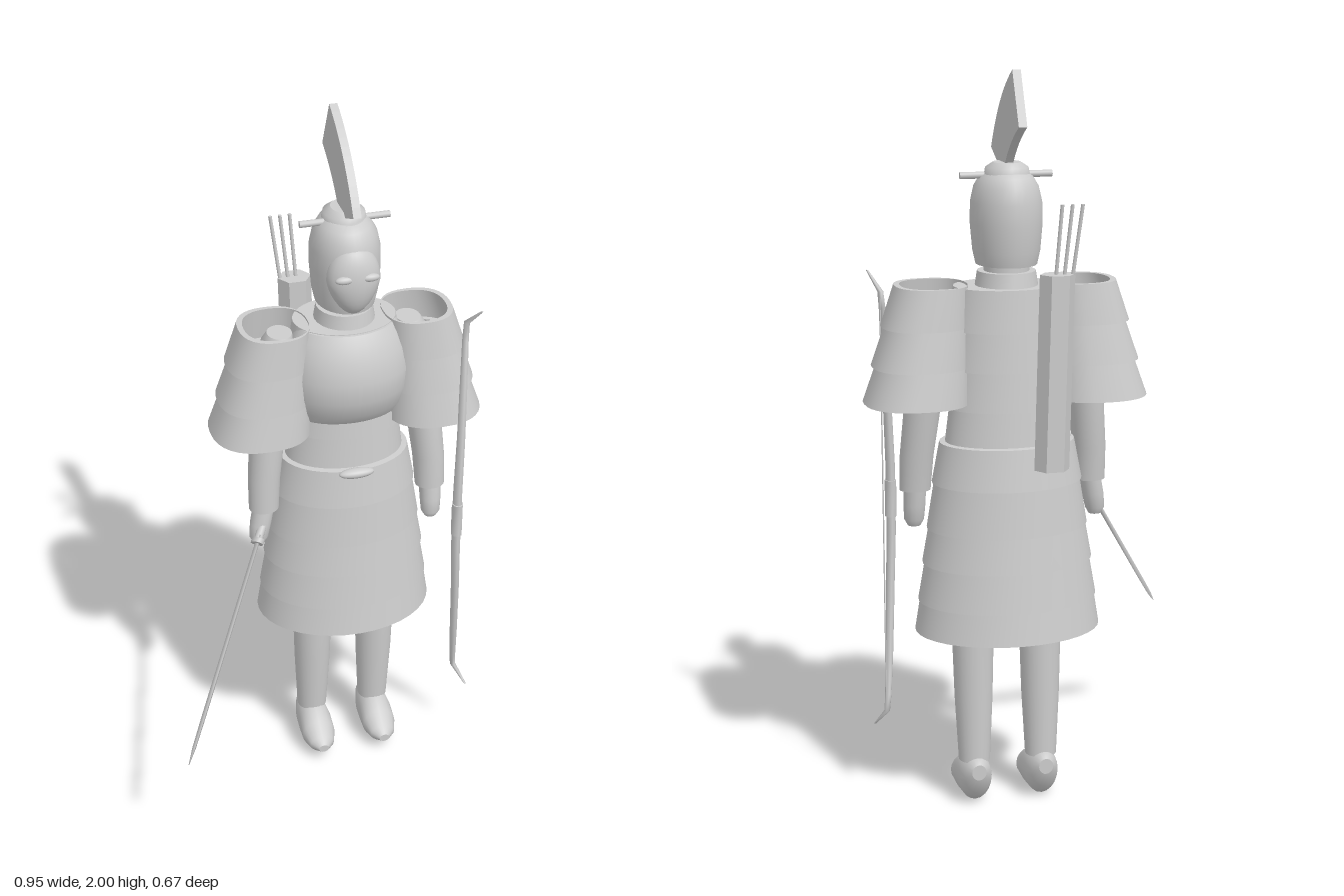
import * as THREE from 'three';

const CX = 0.094;   // body axis in x
const CZ = -0.137;  // body axis in z

export function createModel() {
  const model = new THREE.Group();
  const clay = new THREE.MeshStandardMaterial({ color: 0xcccccc, side: THREE.DoubleSide });
  clay.name = 'clay grey';

  const add = (name, geo, parent = model) => {
    const mesh = new THREE.Mesh(geo, clay);
    mesh.name = name;
    parent.add(mesh);
    return mesh;
  };

  // Skin through stacked elliptical rings [x, y, z, rx, rz]; y rises from ring to ring
  function loft(rings, n = 24, caps = true, power = 2) {
    const pos = [], index = [];
    const point = ([x, y, z, rx, rz], j) => {
      const a = (j / n) * Math.PI * 2, c = Math.cos(a), s = Math.sin(a), e = 2 / power;
      pos.push(x + rx * Math.sign(c) * Math.abs(c) ** e, y, z + rz * Math.sign(s) * Math.abs(s) ** e);
    };
    rings.forEach((r) => { for (let j = 0; j < n; j++) point(r, j); });
    for (let i = 0; i < rings.length - 1; i++) {
      for (let j = 0; j < n; j++) {
        const a = i * n + j, b = i * n + (j + 1) % n;
        index.push(a, a + n, b, b, a + n, b + n);
      }
    }
    if (caps) {
      [rings[0], rings[rings.length - 1]].forEach((r, top) => {
        const start = pos.length / 3;
        pos.push(r[0], r[1], r[2]);
        for (let j = 0; j < n; j++) point(r, j);
        for (let j = 0; j < n; j++) {
          const a = start + 1 + j, b = start + 1 + (j + 1) % n;
          if (top) index.push(start, b, a); else index.push(start, a, b);
        }
      });
    }
    const geo = new THREE.BufferGeometry();
    geo.setAttribute('position', new THREE.Float32BufferAttribute(pos, 3));
    geo.setIndex(index);
    geo.computeVertexNormals();
    return geo;
  }

  const ellipsoid = (x, y, z, rx, ry, rz) =>
    new THREE.SphereGeometry(1, 24, 16).scale(rx, ry, rz).translate(x, y, z);

  // Overlapping skirt bands: [bottom y, top y, bottom rx, top rx, bottom rz, top rz]
  [
    [0.50, 0.60, 0.252, 0.236, 0.193, 0.178],
    [0.585, 0.70, 0.243, 0.223, 0.182, 0.166],
    [0.69, 0.80, 0.231, 0.211, 0.171, 0.156],
    [0.785, 0.92, 0.218, 0.196, 0.161, 0.146],
    [0.91, 1.02, 0.203, 0.182, 0.151, 0.134],
  ].forEach(([y0, y1, a0, a1, b0, b1]) => {
    add('skirtBand', loft([[CX, y0, CZ, a0, b0], [CX, y1, CZ, a1, b1]], 36, false));
    add('skirtRim', loft([[CX, y1, CZ, a1, b1], [CX, y1 + 0.003, CZ, a1 - 0.035, b1 - 0.03]], 36, false));
  });

  // Torso bands
  for (let i = 0; i < 4; i++) {
    const y = 1.01 + i * 0.105;
    add('torsoBand', loft([
      [CX, y, CZ, 0.168 - i * 0.003, 0.118],
      [CX, y + 0.112, CZ, 0.154 - i * 0.004, 0.108],
    ], 36));
  }

  // Breastplate bulging forward
  add('breastplate', loft([
    [CX, 1.165, -0.11, 0.145, 0.09], [CX, 1.2, -0.105, 0.159, 0.113],
    [CX, 1.25, -0.1, 0.169, 0.126], [CX, 1.31, -0.1, 0.172, 0.13],
    [CX, 1.37, -0.105, 0.162, 0.119], [CX, 1.41, -0.11, 0.147, 0.105],
    [CX, 1.435, -0.115, 0.133, 0.094],
  ], 36));
  add('beltKnot', ellipsoid(CX, 1.015, 0.0, 0.05, 0.014, 0.018));

  // Neck and collar
  add('neck', loft([[CX, 1.4, CZ, 0.06, 0.065], [CX, 1.52, CZ, 0.06, 0.065]]));
  add('collar', loft([[CX, 1.43, CZ, 0.084, 0.088], [CX, 1.475, CZ, 0.077, 0.08]]));

  // Head: helmet, cap, face and eyes
  const head = new THREE.Group();
  head.name = 'head';
  model.add(head);
  add('helmet', loft([
    [CX, 1.493, -0.135, 0.08, 0.098], [CX, 1.53, -0.135, 0.088, 0.108],
    [CX, 1.6, -0.135, 0.094, 0.115], [CX, 1.655, -0.135, 0.093, 0.114],
    [CX, 1.695, -0.135, 0.084, 0.105], [CX, 1.72, -0.137, 0.069, 0.088],
    [CX, 1.733, -0.14, 0.054, 0.065],
  ], 32), head);
  add('helmetCap', loft([
    [CX, 1.725, -0.145, 0.06, 0.064], [CX, 1.745, -0.145, 0.056, 0.06],
    [CX, 1.758, -0.145, 0.036, 0.042],
  ]), head);
  const face = ellipsoid(0, 0, 0, 0.073, 0.1, 0.052);
  const fp = face.attributes.position;
  for (let i = 0; i < fp.count; i++) {
    if (fp.getY(i) < 0) fp.setX(i, fp.getX(i) * (1 + fp.getY(i) * 2.5)); // narrower chin
  }
  face.computeVertexNormals();
  add('face', face.translate(CX, 1.592, -0.05), head);
  for (const s of [-1, 1]) add('eye', ellipsoid(CX + s * 0.035, 1.612, -0.009, 0.025, 0.011, 0.012), head);
  add('helmetPin', new THREE.CylinderGeometry(0.009, 0.009, 0.246, 12)
    .rotateZ(Math.PI / 2).translate(CX, 1.724, -0.135), head);

  // Curved crest, drawn in profile with backward z as shape x
  const crest = new THREE.Shape();
  crest.moveTo(0.015, 1.783);
  crest.quadraticCurveTo(0.1, 1.93, 0.25, 2.0);
  crest.lineTo(0.318, 1.862);
  crest.quadraticCurveTo(0.215, 1.815, 0.16, 1.745);
  crest.lineTo(0.1, 1.745);
  crest.closePath();
  add('crest', new THREE.ExtrudeGeometry(crest, { depth: 0.022, bevelEnabled: false, curveSegments: 12 })
    .rotateY(Math.PI / 2).translate(CX - 0.011, 0, 0), head);

  // Paired limbs and shoulder guards
  for (const s of [-1, 1]) {
    const side = s > 0 ? 'left' : 'right';
    const X = (d) => CX + s * d;

    // Shoulder guard of three flared open bands: [bottom y, top y, bottom outer x, top outer x, bottom rz, top rz]
    [
      [1.335, 1.443, 0.332, 0.296, 0.113, 0.1],
      [1.23, 1.345, 0.358, 0.318, 0.126, 0.108],
      [1.133, 1.24, 0.381, 0.343, 0.14, 0.121],
    ].forEach(([y0, y1, o0, o1, b0, b1]) => {
      const inner = 0.105;
      const ring = (y, o, b) => [X((inner + o) / 2), y, -0.125, (o - inner) / 2, b];
      add(side + 'ShoulderBand', loft([ring(y0, o0, b0), ring(y1, o1, b1)], 32, false, 2.4));
      add(side + 'ShoulderRim', loft([ring(y1, o1, b1), ring(y1, o1 - 0.015, b1 - 0.012)], 32, false, 2.4));
    });

    // Arm and hand
    add(side + 'Arm', loft([
      [X(0.242), 0.885, -0.092, 0.042, 0.038], [X(0.238), 0.98, -0.1, 0.045, 0.045],
      [X(0.222), 1.13, -0.115, 0.049, 0.055], [X(0.2), 1.3, -0.132, 0.052, 0.058],
      [X(0.185), 1.385, -0.137, 0.045, 0.052], [X(0.18), 1.41, -0.137, 0.034, 0.04],
    ]));
    const lean = s < 0 ? 0.018 : 0;
    add(side + 'Hand', loft([
      [X(0.243 + lean), 0.782, -0.08, 0.017, 0.016], [X(0.243 + lean), 0.8, -0.08, 0.027, 0.027],
      [X(0.243 + lean * 0.6), 0.84, -0.085, 0.03, 0.03], [X(0.242), 0.895, -0.092, 0.031, 0.029],
    ], 16));

    // Leg and shoe
    add(side + 'Leg', loft([
      [X(0.094), 0.12, -0.137, 0.043, 0.044], [X(0.094), 0.3, -0.131, 0.052, 0.052],
      [X(0.094), 0.52, -0.126, 0.058, 0.058], [X(0.092), 0.95, -0.13, 0.065, 0.065],
    ]));
    const fx = X(0.094);
    add(side + 'Shoe', loft([
      [fx, -0.2, -0.1, 0.02, 0.022], [fx, -0.185, -0.085, 0.037, 0.05],
      [fx, -0.15, -0.07, 0.046, 0.066], [fx, -0.1, -0.067, 0.049, 0.067],
      [fx, -0.055, -0.057, 0.049, 0.047], [fx, -0.015, -0.05, 0.036, 0.026],
      [fx, 0.006, -0.047, 0.015, 0.012],
    ], 20).rotateX(Math.PI / 2));
  }

  // Sword held in the right hand, modelled along y then turned to its direction
  const grip = new THREE.Vector3(-0.172, 0.82, -0.05);
  const tip = new THREE.Vector3(-0.473, 0.372, 0.336);
  const along = tip.clone().sub(grip);
  const length = along.length();
  along.normalize();
  const wide = new THREE.Vector3(0, 0.64, 0.77);
  wide.addScaledVector(along, -wide.dot(along)).normalize();
  const sword = new THREE.Group();
  sword.name = 'sword';
  sword.applyMatrix4(new THREE.Matrix4()
    .makeBasis(wide, along, new THREE.Vector3().crossVectors(wide, along)).setPosition(grip));
  model.add(sword);
  add('blade', loft([
    [0, 0, 0, 0.019, 0.006], [0, length * 0.8, 0, 0.019, 0.006],
    [0, length * 0.93, 0, 0.014, 0.005], [0, length, 0, 0.002, 0.001],
  ], 4), sword);
  add('swordGuard', loft([[0, 0.01, 0, 0.03, 0.018], [0, 0.024, 0, 0.03, 0.018]], 16), sword);
  add('swordGrip', loft([[0, -0.07, 0, 0.013, 0.012], [0, 0.015, 0, 0.013, 0.012]], 12), sword);

  // Bow at the left side, limbs mirrored above and below the grip
  const limb = [
    [0.44, 0.636, -0.005, 0.003, 0.004], [0.413, 0.585, -0.047, 0.008, 0.011],
    [0.407, 0.54, -0.036, 0.009, 0.012], [0.397, 0.42, -0.008, 0.011, 0.013],
    [0.387, 0.25, 0.018, 0.012, 0.015], [0.38, 0.09, 0.029, 0.013, 0.017],
  ];
  const ringAt = (sign) => ([x, h, z, rx, rz]) => [x, 0.831 + sign * h, z, rx, rz];
  add('bow', loft([...limb.map(ringAt(-1)), ...[...limb].reverse().map(ringAt(1))], 8));
  add('bowGrip', loft([[0.38, 0.78, 0.03, 0.016, 0.02], [0.38, 0.882, 0.03, 0.016, 0.02]], 8));
  add('bowString', new THREE.CylinderGeometry(0.002, 0.002, 1.17, 6).translate(0.415, 0.831, -0.05));

  // Six-sided quiver with three arrows on the back
  const quiver = loft([[0.012, 0.97, -0.297, 0.047, 0.04], [-0.002, 1.485, -0.297, 0.047, 0.04]], 6).toNonIndexed();
  quiver.computeVertexNormals();
  add('quiver', quiver);
  for (let i = 0; i < 3; i++) {
    add('arrow', loft([
      [-0.032 + i * 0.02, 1.4, -0.293, 0.005, 0.005],
      [-0.063 + i * 0.027, 1.665, -0.316, 0.005, 0.005],
    ], 8));
  }

  return model;
}
